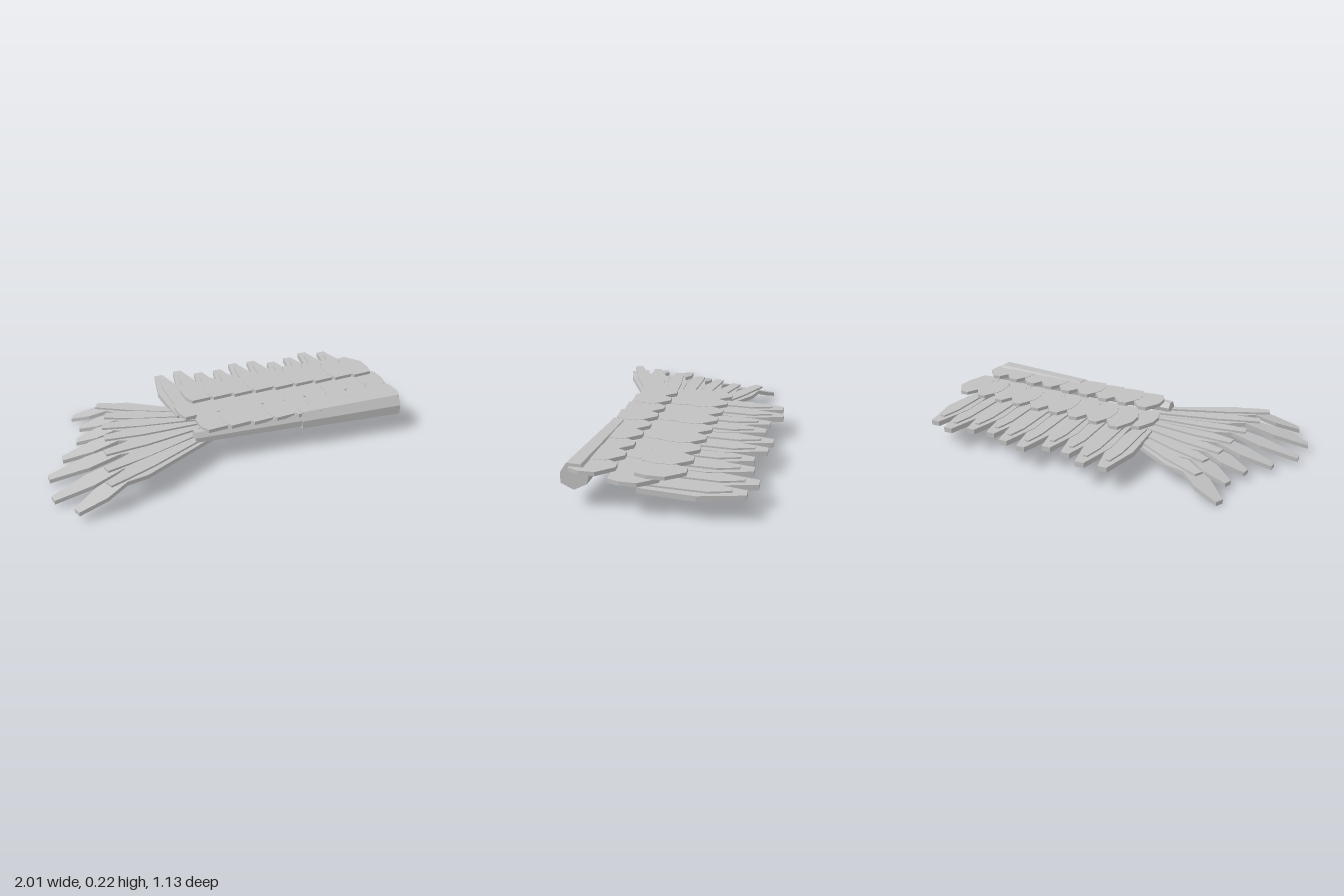
import * as THREE from 'three';

const grey = new THREE.MeshStandardMaterial({ color: 0xc0c0c0, flatShading: true });
grey.name = 'plain grey';

// Closed solid through convex rings, each counter-clockwise seen from the far end.
function loft(name, rings) {
  const v = [];
  const n = rings[0].length;
  const tri = (a, b, c) => v.push(...a, ...b, ...c);
  for (let k = 0; k < rings.length - 1; k++) {
    for (let i = 0; i < n; i++) {
      const j = (i + 1) % n;
      tri(rings[k][i], rings[k][j], rings[k + 1][j]);
      tri(rings[k][i], rings[k + 1][j], rings[k + 1][i]);
    }
  }
  const first = rings[0], last = rings[rings.length - 1];
  for (let i = 1; i < n - 1; i++) {
    tri(first[0], first[i + 1], first[i]);
    tri(last[0], last[i], last[i + 1]);
  }
  const g = new THREE.BufferGeometry();
  g.setAttribute('position', new THREE.Float32BufferAttribute(v, 3));
  g.computeVertexNormals();
  const mesh = new THREE.Mesh(g, grey);
  mesh.name = name;
  return mesh;
}

// Flat feather plate: stations are [x, underside y, z, half width].
function plate(name, stations, thick) {
  const a = stations[0], b = stations[stations.length - 1];
  const len = Math.hypot(b[0] - a[0], b[2] - a[2]);
  const sx = (b[2] - a[2]) / len, sz = -(b[0] - a[0]) / len;
  return loft(name, stations.map(([x, y, z, w]) => [
    [x - sx * w, y, z - sz * w], [x + sx * w, y, z + sz * w],
    [x + sx * w, y + thick, z + sz * w], [x - sx * w, y + thick, z - sz * w],
  ]));
}

// Heptagonal arm bone, scaled about its axis at each [x, scale].
const boneProfile = [[0.212, 0.22], [0.282, 0.22], [0.315, 0.168], [0.315, 0.115],
  [0.25, 0.088], [0.185, 0.125], [0.176, 0.165]];
function bone(name, ends) {
  return loft(name, ends.map(([x, s]) =>
    boneProfile.map(([z, y]) => [x, 0.157 + (y - 0.157) * s, 0.24 + (z - 0.24) * s])));
}

// Row of short overlapping covert feathers pointing backwards.
function covertRow(name, count, x0, step, y, thick, zRoot, zTip, half) {
  const row = new THREE.Group();
  row.name = name;
  for (let i = 0; i < count; i++) {
    const x = x0 + i * step;
    const z = (t) => zRoot + (zTip - zRoot) * t;
    const lift = (i % 2) * 0.002;
    row.add(plate('covertFeather', [
      [x + 0.025, y + lift, z(0), 0.055],
      [x + 0.02, y + lift, z(0.25), half],
      [x + 0.015, y + lift, z(0.62), half],
      [x, y + lift, z(1), 0.022],
    ], thick - 0.002));
  }
  return row;
}

export function createModel() {
  const wing = new THREE.Group();
  wing.name = 'wing';

  wing.add(bone('upperArm', [[0.37, 0.82], [0.96, 1]]));
  wing.add(bone('forearm', [[-0.23, 0.5], [0.37, 0.68]]));

  // Three stacked covert rows
  wing.add(covertRow('frontCoverts', 9, -0.13, 0.128, 0.185, 0.022, 0.275, 0.065, 0.08));
  wing.add(covertRow('middleCoverts', 10, -0.2, 0.124, 0.163, 0.023, 0.08, -0.145, 0.075));
  wing.add(covertRow('rearCoverts', 9, -0.13, 0.126, 0.195, 0.02, -0.033, -0.26, 0.075));

  // Long trailing feathers with raised central ribs
  const trailing = new THREE.Group();
  trailing.name = 'trailingFeathers';
  const tipZ = [-0.545, -0.562, -0.505, -0.5, -0.558, -0.548, -0.5, -0.52, -0.565, -0.53];
  tipZ.forEach((zt, i) => {
    const x = -0.228 + i * 0.1215;
    const y = 0.1 + (i % 2) * 0.003;
    trailing.add(plate('trailingFeather', [
      [x + 0.03, y, -0.04, 0.05], [x + 0.016, y, zt + 0.215, 0.073], [x, y, zt, 0.025],
    ], 0.028));
    trailing.add(plate('trailingRib', [
      [x + 0.03, y + 0.025, -0.05, 0.025], [x + 0.016, y + 0.025, zt + 0.17, 0.036],
      [x + 0.004, y + 0.025, zt + 0.065, 0.012],
    ], 0.012));
  });
  wing.add(trailing);

  // Fan of hand feathers: [bend x, bend z, tip x, tip z, tip underside y]
  const hand = new THREE.Group();
  hand.name = 'handFeathers';
  const fan = [
    [-0.59, -0.305, -0.79, -0.395, 0.0], [-0.57, -0.175, -0.77, -0.235, 0.02],
    [-0.6, -0.065, -0.81, -0.09, 0.025], [-0.61, 0.055, -0.905, 0.055, 0.02],
    [-0.63, 0.195, -0.995, 0.21, 0.02], [-0.65, 0.34, -0.995, 0.395, 0.02],
    [-0.66, 0.465, -0.9, 0.545, 0.035],
  ];
  fan.forEach(([bx, bz, tx, tz, ty], i) => {
    const rx = -0.14, rz = -0.09 + i * 0.052;
    const y = 0.078 + i * 0.006;
    const at = (t, w, dy = 0) => [rx + (bx - rx) * t, y + dy, rz + (bz - rz) * t, w];
    const tip = (t, w) => [bx + (tx - bx) * t, y + (ty - y) * t, bz + (tz - bz) * t, w];
    hand.add(plate('handFeather', [
      at(0, 0.03), at(0.8, 0.066), at(1, 0.042), tip(0.45, 0.053), tip(1, 0.022),
    ], 0.022));
    hand.add(plate('handRib', [
      at(0, 0.012, 0.02), at(0.7, 0.034, 0.02), at(1, 0.03, 0.02), at(1.14, 0.024, 0.018),
    ], 0.012));
  });
  wing.add(hand);

  return wing;
}
